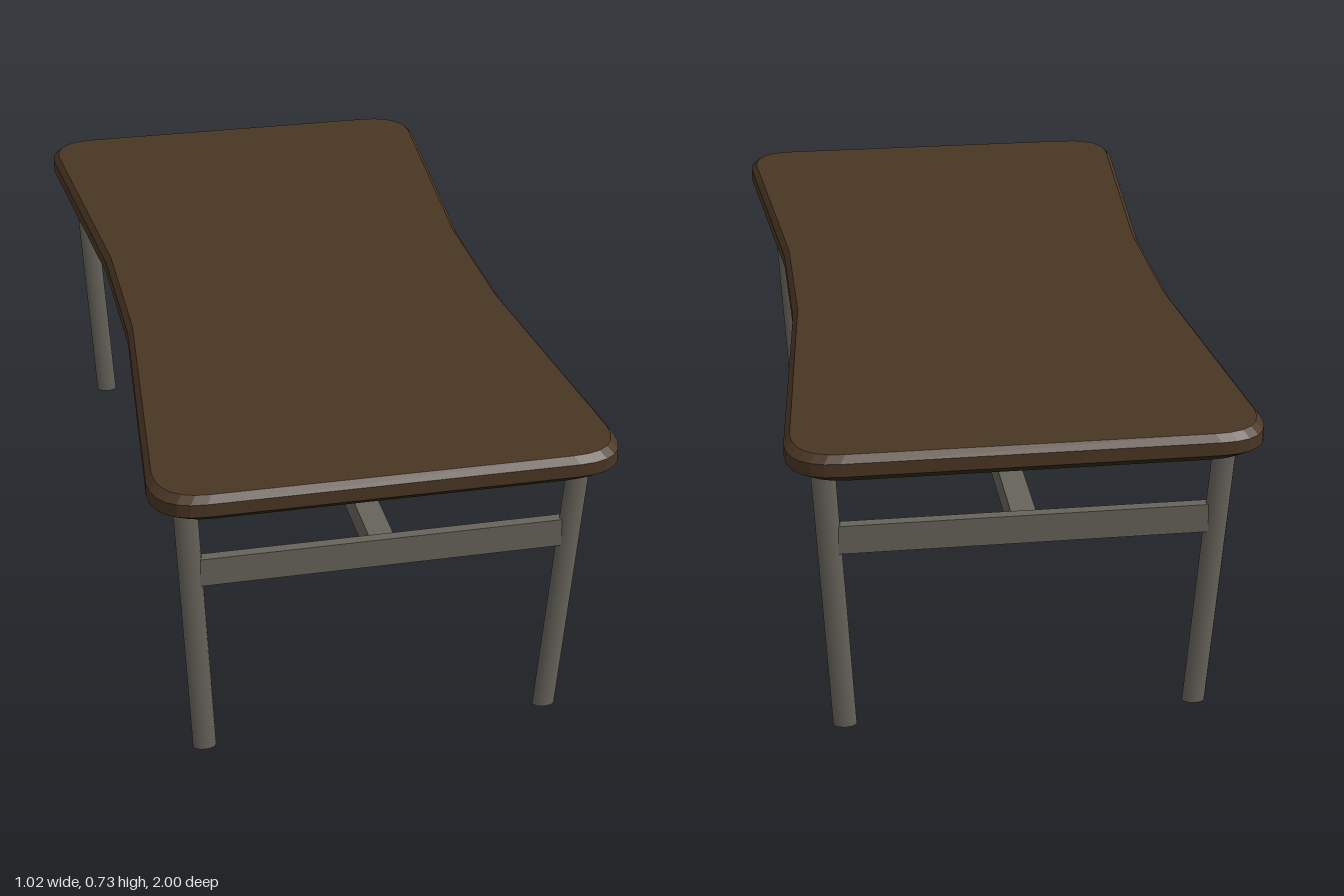
import * as THREE from 'three';

const material = (name, color) => Object.assign(new THREE.MeshStandardMaterial({ color }), { name });

// Full table outline from one quarter: straight waist, flared sides, round corner
function tableOutline() {
  const corner = new THREE.QuadraticBezierCurve(
    new THREE.Vector2(0.512, 0.89), new THREE.Vector2(0.512, 1.0), new THREE.Vector2(0.40, 1.0));
  const q = [new THREE.Vector2(0.455, 0.2), ...corner.getPoints(6)];
  const back = [...q].reverse();
  return [
    ...q.map(p => [p.x, p.y]), ...back.map(p => [-p.x, p.y]),
    ...q.map(p => [-p.x, -p.y]), ...back.map(p => [p.x, -p.y]),
  ];
}

// Skin through inset copies of the outline, listed upward as [y, inset];
// an inset of null closes the skin at the centre
function loft(outline, levels) {
  const n = outline.length, pos = [];
  const point = ([y, inset], i) => {
    if (inset === null) return [0, y, 0];
    const [x, z] = outline[i % n];
    return [x * (1 - inset / 0.51), y, z * (1 - inset)];
  };
  for (let k = 0; k + 1 < levels.length; k++) {
    const a = levels[k], b = levels[k + 1];
    for (let i = 0; i < n; i++) {
      if (a[1] !== null) pos.push(...point(a, i), ...point(b, i), ...point(a, i + 1));
      if (b[1] !== null) pos.push(...point(a, i + 1), ...point(b, i), ...point(b, i + 1));
    }
  }
  const g = new THREE.BufferGeometry();
  g.setAttribute('position', new THREE.Float32BufferAttribute(pos, 3));
  g.computeVertexNormals();
  return g;
}

export function createModel() {
  const group = new THREE.Group();
  const wood = material('dark walnut', 0x4a3624);
  const under = material('dark underside', 0x2c2a1a);
  const metal = material('warm grey metal', 0x66635a);

  const add = (name, geometry, mat, x = 0, y = 0, z = 0) => {
    const m = new THREE.Mesh(geometry, mat);
    m.name = name;
    m.position.set(x, y, z);
    group.add(m);
    return m;
  };

  // Tabletop with bevelled rim, and its dark lower face
  const outline = tableOutline();
  add('tabletop', loft(outline, [[0.686, 0], [0.716, 0], [0.731, 0.014], [0.731, null]]), wood);
  add('tabletopUnderside', loft(outline, [[0.666, null], [0.666, 0.024], [0.686, 0]]), under);

  // Oval legs leaning outward toward the top
  const height = 0.675;
  for (const sx of [-1, 1]) for (const sz of [-1, 1]) {
    const g = new THREE.CylinderGeometry(1, 1, height, 12);
    g.scale(0.0265, 1, 0.016);
    g.translate(0, height / 2, 0);
    const p = g.attributes.position;
    for (let i = 0; i < p.count; i++) {
      const t = p.getY(i) / height;
      p.setX(i, p.getX(i) + sx * (0.398 + 0.035 * t));
      p.setZ(i, p.getZ(i) + sz * (0.865 + 0.035 * t));
    }
    add('leg', g, metal);
  }

  // End rails with dark joint plates on their inner faces
  for (const sz of [-1, 1]) {
    add('endRail', new THREE.BoxGeometry(0.81, 0.067, 0.024), metal, 0, 0.485, sz * 0.888);
    const z = sz * 0.874;
    add('centreJointPlate', new THREE.BoxGeometry(0.24, 0.058, 0.005), under, 0, 0.485, z);
    for (const sx of [-1, 1])
      add('endJointPlate', new THREE.BoxGeometry(0.05, 0.058, 0.005), under, sx * 0.37, 0.485, z);
  }

  // Long stretcher joining the two rails
  add('stretcher', new THREE.BoxGeometry(0.055, 0.06, 1.76), metal, 0, 0.485, 0);

  return group;
}
